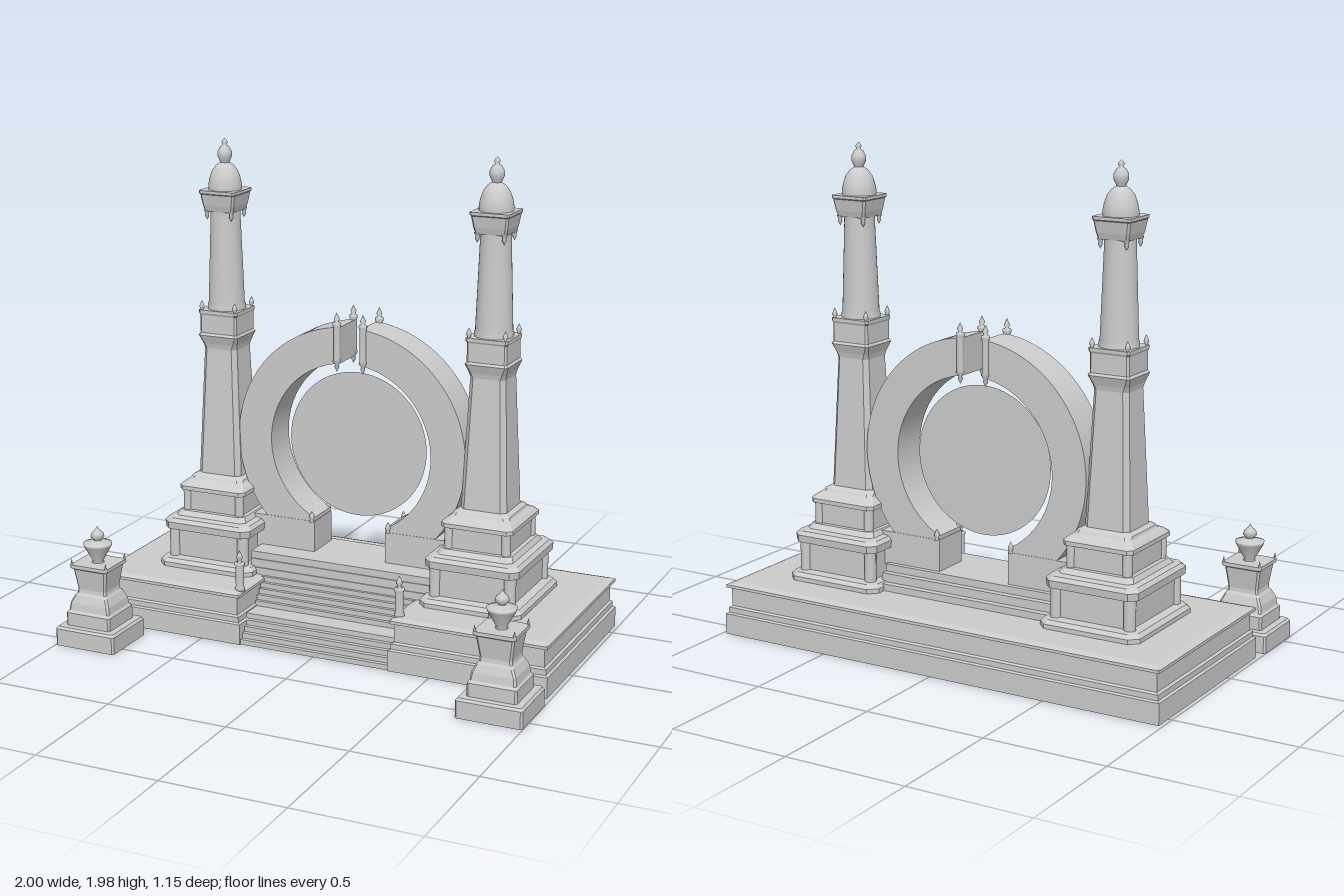
import * as THREE from 'three';

const stone = new THREE.MeshStandardMaterial({ color: 0xcccccc });
stone.name = 'pale stone';
stone.side = THREE.DoubleSide;

function add(parent, name, geometry, x = 0, y = 0, z = 0) {
  const mesh = new THREE.Mesh(geometry, stone);
  mesh.name = name;
  mesh.position.set(x, y, z);
  parent.add(mesh);
  return mesh;
}

// Flat-sided solid through stacked outlines; each ring is { y, pts: [[x, z], ...] }.
function loft(rings) {
  const pos = [];
  const put = (ring, k) => pos.push(ring.pts[k][0], ring.y, ring.pts[k][1]);
  const n = rings[0].pts.length;
  for (let i = 0; i < rings.length - 1; i++) {
    const a = rings[i], b = rings[i + 1];
    for (let j = 0; j < n; j++) {
      const k = (j + 1) % n;
      put(a, j); put(a, k); put(b, k);
      put(a, j); put(b, k); put(b, j);
    }
  }
  const cap = (ring, flip) => {
    const contour = ring.pts.map(([x, z]) => new THREE.Vector2(x, -z));
    for (const [a, b, c] of THREE.ShapeUtils.triangulateShape(contour, [])) {
      for (const k of flip ? [a, c, b] : [a, b, c]) put(ring, k);
    }
  };
  cap(rings[0], true);
  cap(rings[rings.length - 1], false);
  const geometry = new THREE.BufferGeometry();
  geometry.setAttribute('position', new THREE.Float32BufferAttribute(pos, 3));
  geometry.computeVertexNormals();
  return geometry;
}

// Rectangular moulding with chamfered corners; rows are [y, halfX, halfZ, chamfer].
const blockLoft = rows => loft(rows.map(([y, hx, hz, c = 0.008]) => ({
  y,
  pts: [[c - hx, hz], [hx - c, hz], [hx, hz - c], [hx, c - hz],
    [hx - c, -hz], [c - hx, -hz], [-hx, c - hz], [-hx, hz - c]],
})));

const lathe = (rows, segments = 24) =>
  new THREE.LatheGeometry(rows.map(([r, y]) => new THREE.Vector2(r, y)), segments);

const corners = (hx, hz, fn) => {
  for (const sx of [-1, 1]) for (const sz of [-1, 1]) fn(sx * hx, sz * hz);
};

const bud = s => lathe([[0.011 * s, 0], [0.006 * s, 0.008 * s], [0.013 * s, 0.02 * s],
  [0.01 * s, 0.032 * s], [0, 0.052 * s]], 10);

// Stepped platform with a stair recess cut into its front
function platform(root) {
  const X = 0.985, F = 0.262, B = -0.578, S = 0.325;
  const rows = [[0, 0], [0.085, 0], [0.09, 0.01], [0.112, 0.01], [0.118, 0.02],
    [0.193, 0.02], [0.196, 0.004], [0.208, 0.004], [0.212, 0.012], [0.217, 0.03]];
  add(root, 'platform', loft(rows.map(([y, i]) => ({
    y,
    pts: [[i - X, F - i], [-S - i, F - i], [-S - i, -i], [S + i, -i],
      [S + i, F - i], [X - i, F - i], [X - i, B + i], [i - X, B + i]],
  }))));

  // Two short flights with a landing between
  for (let i = 0; i < 10; i++) {
    const front = i < 5 ? 0.255 - i * 0.019 : 0.088 - (i - 5) * 0.015;
    const h = 0.0215;
    add(root, 'stair', new THREE.BoxGeometry(0.68, h, front + 0.03), 0, (i + 0.5) * h, (front - 0.03) / 2);
  }

  // Stepped plinth between the towers
  [[0.21, 0.245, -0.335, 0.015], [0.245, 0.28, -0.306, 0.01], [0.28, 0.31, -0.278, 0.005]]
    .forEach(([y0, y1, z0, z1]) => add(root, 'plinthStep',
      new THREE.BoxGeometry(0.8, y1 - y0, z1 - z0), 0, (y0 + y1) / 2, (z0 + z1) / 2));

  // Newel posts beside the stairs
  for (const s of [-1, 1]) {
    add(root, 'newelPost', lathe([[0, 0.21], [0.021, 0.21], [0.021, 0.225], [0.017, 0.23],
      [0.017, 0.315], [0.021, 0.32], [0.021, 0.33], [0, 0.33]], 14), s * 0.35, 0, 0.205);
    add(root, 'newelBud', bud(1), s * 0.35, 0.33, 0.205);
  }
}

function tower(root, x) {
  const g = new THREE.Group();
  g.name = 'tower';
  g.position.set(x, 0, -0.16);
  root.add(g);

  // Rectangular pedestal in two tiers
  add(g, 'pedestalLower', blockLoft([[0.21, 0.214, 0.247, 0.035], [0.235, 0.214, 0.247, 0.035],
    [0.25, 0.2, 0.232, 0.03], [0.255, 0.165, 0.195, 0.01], [0.37, 0.165, 0.195, 0.01],
    [0.375, 0.196, 0.226, 0.03], [0.405, 0.198, 0.229, 0.03], [0.42, 0.185, 0.215, 0.03],
    [0.425, 0.16, 0.185, 0.02], [0.445, 0.148, 0.168, 0.02]]));
  corners(0.157, 0.187, (cx, cz) =>
    add(g, 'cornerColumn', new THREE.CylinderGeometry(0.024, 0.024, 0.13, 14), cx, 0.315, cz));
  add(g, 'pedestalUpper', blockLoft([[0.425, 0.128, 0.148], [0.53, 0.128, 0.148],
    [0.533, 0.15, 0.17, 0.02], [0.55, 0.15, 0.17, 0.02], [0.562, 0.138, 0.156, 0.02],
    [0.575, 0.12, 0.127, 0.02], [0.585, 0.116, 0.12, 0.02], [0.595, 0.097, 0.099, 0.015]]));
  corners(0.12, 0.14, (cx, cz) =>
    add(g, 'cornerColumn', new THREE.CylinderGeometry(0.019, 0.019, 0.1, 14), cx, 0.485, cz));

  // Tapered square shaft and collar
  add(g, 'squareShaft', blockLoft([[0.58, 0.097, 0.097, 0.02], [1.125, 0.074, 0.074, 0.018],
    [1.145, 0.078, 0.078, 0.014], [1.18, 0.09, 0.09, 0.01], [1.19, 0.083, 0.083],
    [1.265, 0.083, 0.083], [1.272, 0.087, 0.087], [1.285, 0.087, 0.087]]));
  corners(0.075, 0.075, (cx, cz) => add(g, 'collarBud', bud(0.85), cx, 1.28, cz));

  // Round upper shaft, capital with pendants, dome and finial
  add(g, 'roundShaft', lathe([[0.078, 1.28], [0.078, 1.3], [0.074, 1.31], [0.061, 1.66],
    [0.061, 1.7]], 32));
  add(g, 'capital', blockLoft([[1.69, 0.063, 0.063], [1.715, 0.07, 0.07], [1.76, 0.077, 0.077],
    [1.764, 0.081, 0.081], [1.776, 0.081, 0.081]]));
  corners(0.055, 0.055, (cx, cz) =>
    add(g, 'pendant', lathe([[0, 1.655], [0.009, 1.67], [0.007, 1.68], [0.013, 1.695]], 10), cx, 0, cz));
  add(g, 'dome', lathe([[0.068, 1.774], [0.068, 1.795], [0.063, 1.82], [0.053, 1.85],
    [0.036, 1.873], [0.018, 1.885]], 32));
  add(g, 'finial', lathe([[0.018, 1.88], [0.02, 1.89], [0.029, 1.908], [0.029, 1.928],
    [0.018, 1.948], [0.008, 1.954], [0.012, 1.964], [0.01, 1.972], [0, 1.982]], 24));
}

// Half of the open ring, with its footing block and end posts
function ringHalf(root, turn) {
  const g = new THREE.Group();
  g.name = 'ringHalf';
  g.position.z = -0.174;
  g.rotation.y = turn;
  root.add(g);
  const R = 0.5, r = 0.352, cy = 0.77, gap = 0.045, foot = 0.16;
  const shape = new THREE.Shape();
  shape.absarc(0, cy, R, Math.acos(gap / R), -Math.asin(0.345 / R), true);
  shape.lineTo(foot, 0.425);
  shape.absarc(0, cy, r, -Math.acos(foot / r), Math.acos(gap / r), false);
  shape.closePath();
  const geometry = new THREE.ExtrudeGeometry(shape, { depth: 0.16, bevelEnabled: false, curveSegments: 48 });
  add(g, 'ringArc', geometry, 0, 0, -0.08);
  add(g, 'ringFoot', new THREE.BoxGeometry(0.3, 0.14, 0.164), 0.308, 0.37, 0);
  for (const z of [-0.08, 0.08]) {
    add(g, 'ringEndPost', lathe([[0, 1.085], [0.01, 1.105], [0.007, 1.115], [0.017, 1.13],
      [0.014, 1.14], [0.014, 1.265], [0.017, 1.275], [0.017, 1.285], [0.007, 1.29],
      [0.012, 1.303], [0, 1.328]], 12), 0.057, 0, z);
    add(g, 'footBud', bud(0.9), 0.17, 0.438, z);
  }
}

// Free-standing pedestal with a cone-shaped urn
function urnPedestal(root, x) {
  const g = new THREE.Group();
  g.name = 'urnPedestal';
  g.position.set(x, 0, 0.446);
  root.add(g);
  add(g, 'urnBase', blockLoft([[0, 0.134, 0.126], [0.07, 0.134, 0.126], [0.08, 0.126, 0.118],
    [0.082, 0.1, 0.096], [0.135, 0.1, 0.096], [0.145, 0.092, 0.087], [0.175, 0.088, 0.082],
    [0.205, 0.074, 0.07], [0.215, 0.066, 0.062], [0.23, 0.064, 0.06], [0.315, 0.076, 0.072],
    [0.32, 0.084, 0.08], [0.335, 0.084, 0.08]]));
  corners(0.078, 0.074, (cx, cz) =>
    add(g, 'cornerHorn', new THREE.ConeGeometry(0.009, 0.035, 4), cx, 0.343, cz));
  add(g, 'urn', lathe([[0.03, 0.33], [0.02, 0.34], [0.056, 0.405], [0.058, 0.416],
    [0.035, 0.42], [0.014, 0.424], [0.016, 0.43], [0.028, 0.442], [0.024, 0.457],
    [0.008, 0.472], [0, 0.487]], 24));
}

export function createModel() {
  const root = new THREE.Group();
  root.name = 'gateMonument';
  platform(root);
  for (const s of [-1, 1]) {
    tower(root, s * 0.585);
    ringHalf(root, s > 0 ? 0 : Math.PI);
    urnPedestal(root, s * 0.865);
  }
  // Thin disc floating inside the ring
  add(root, 'portalDisc', new THREE.CircleGeometry(0.302, 64), 0, 0.768, -0.174);
  return root;
}
